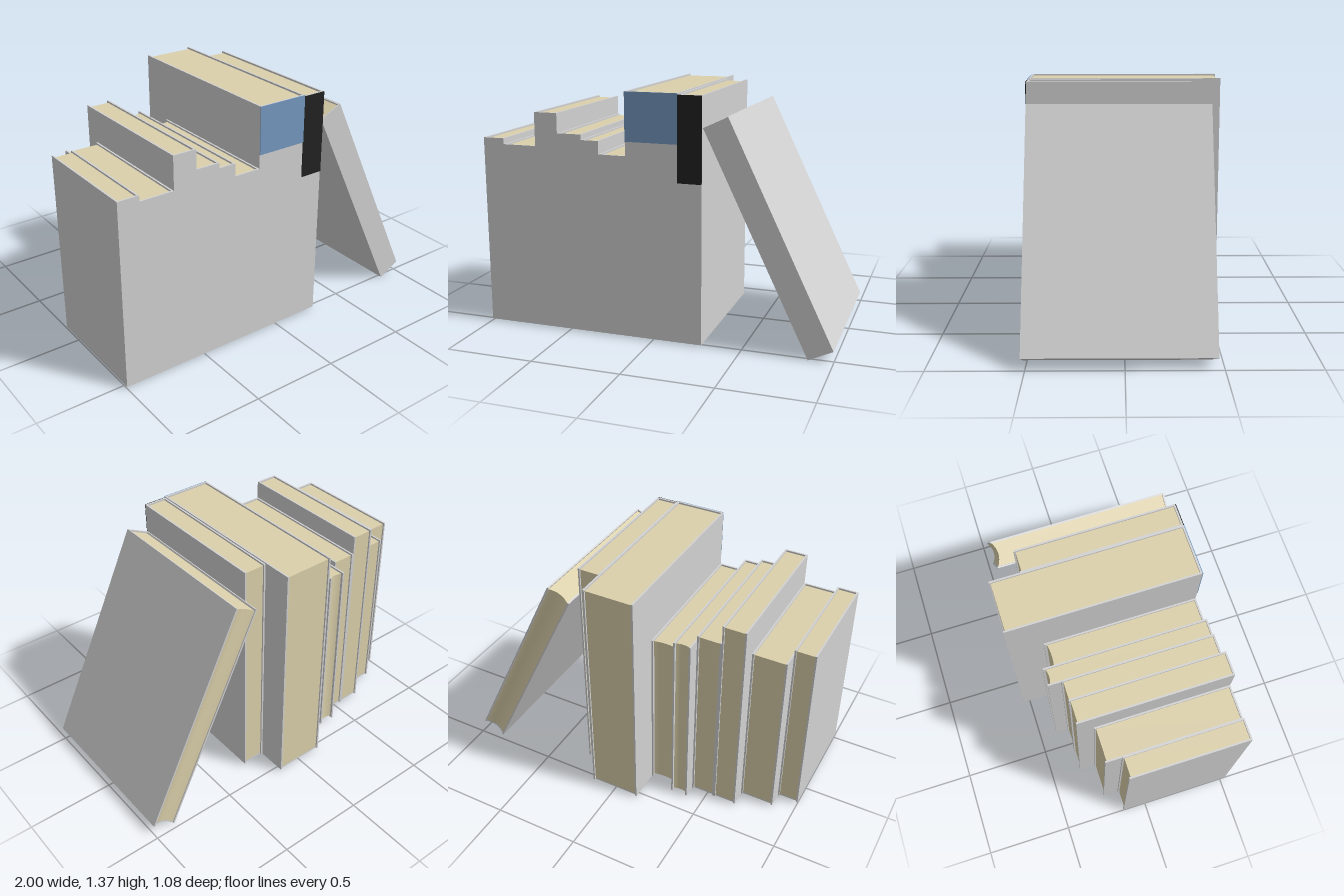
import * as THREE from 'three';
import { toCreasedNormals } from 'three/addons/utils/BufferGeometryUtils.js';

const mat = (name, color) => {
  const m = new THREE.MeshStandardMaterial({ color });
  m.name = name;
  return m;
};

export function createModel() {
  const cover = mat('coverGrey', 0xd2d2d2);
  const paper = mat('paperCream', 0xdbd0ab);
  const blue = mat('labelBlue', 0x7599c0);
  const black = mat('labelBlack', 0x222222);
  const BOARD = 0.01;

  // Box given by its low and high corners
  const box = (name, material, x0, x1, y0, y1, z0, z1) => {
    const mesh = new THREE.Mesh(new THREE.BoxGeometry(x1 - x0, y1 - y0, z1 - z0), material);
    mesh.position.set((x0 + x1) / 2, (y0 + y1) / 2, (z0 + z1) / 2);
    mesh.name = name;
    return mesh;
  };

  // Upright block whose back edge may be hollowed by a shallow curve
  const block = (name, material, x0, x1, y0, y1, back, front, hollow) => {
    const s = new THREE.Shape();
    s.moveTo(x0, -front);
    s.lineTo(x1, -front);
    s.lineTo(x1, -back);
    if (hollow) s.quadraticCurveTo((x0 + x1) / 2, -back - 2 * hollow, x0, -back);
    else s.lineTo(x0, -back);
    s.closePath();
    const g = new THREE.ExtrudeGeometry(s, { depth: y1 - y0, bevelEnabled: false, curveSegments: 12 });
    g.rotateX(-Math.PI / 2);
    const mesh = new THREE.Mesh(toCreasedNormals(g, 0.5), material);
    mesh.position.y = y0;
    mesh.name = name;
    return mesh;
  };

  // One bound book: two boards, a spine, the page block and an optional closed foot
  const book = (name, { x0, x1, y0, y1, back, front, inset = 0.01, hollow = 0, foot = true }) => {
    const g = new THREE.Group();
    g.name = name;
    const a = x0 + BOARD, b = x1 - BOARD, pageBottom = y0 + BOARD;
    g.add(
      box('leftBoard', cover, b, x1, y0, y1, back, front),
      box('rightBoard', cover, x0, a, y0, y1, back, front),
      box('spine', cover, a, b, y0, y1, front - BOARD, front),
      block('pages', paper, a, b, pageBottom, y1 - BOARD, back + inset, front - BOARD, hollow)
    );
    if (foot) g.add(block('foot', cover, a, b, y0, pageBottom, back + inset, front - BOARD, hollow));
    return g;
  };

  const model = new THREE.Group();
  model.name = 'bookRow';

  // Standing books: [x start, x end, top, back, hollow fore-edge]
  const FRONT = 0.533, BASE = 0.01;
  [
    [-1, -0.877, 1.085, -0.14, 0],
    [-0.877, -0.68, 1.052, -0.23, 0],
    [-0.68, -0.545, 1.24, -0.323, 0],
    [-0.545, -0.405, 1.13, -0.323, 0],
    [-0.405, -0.303, 1.1, -0.397, 0.008],
    [-0.303, -0.147, 1.027, -0.347, 0.008],
    [-0.147, 0.147, 1.372, -0.54, 0],
    [0.147, 0.282, 1.365, -0.368, 0],
  ].forEach(([x0, x1, y1, back, hollow], i) => {
    model.add(book('standingBook' + (i + 1), {
      x0, x1, y0: BASE, y1, back, front: FRONT, hollow,
      inset: hollow ? 0.014 : 0.009, foot: !hollow,
    }));
  });

  // Coloured labels on the two tall spines
  model.add(
    box('blueLabel', blue, -0.147, 0.147, 1.105, 1.372, FRONT, FRONT + 0.004),
    box('blackLabel', black, 0.147, 0.282, 0.9, 1.365, FRONT, FRONT + 0.004)
  );

  // Book leaning against the row
  const leaning = book('leaningBook', {
    x0: 0, x1: 0.148, y0: 0, y1: 1.33, back: -0.469, front: 0.523, inset: 0.006, hollow: 0.02,
  });
  leaning.position.x = 0.865;
  leaning.rotation.z = 0.452;
  model.add(leaning);

  return model;
}
